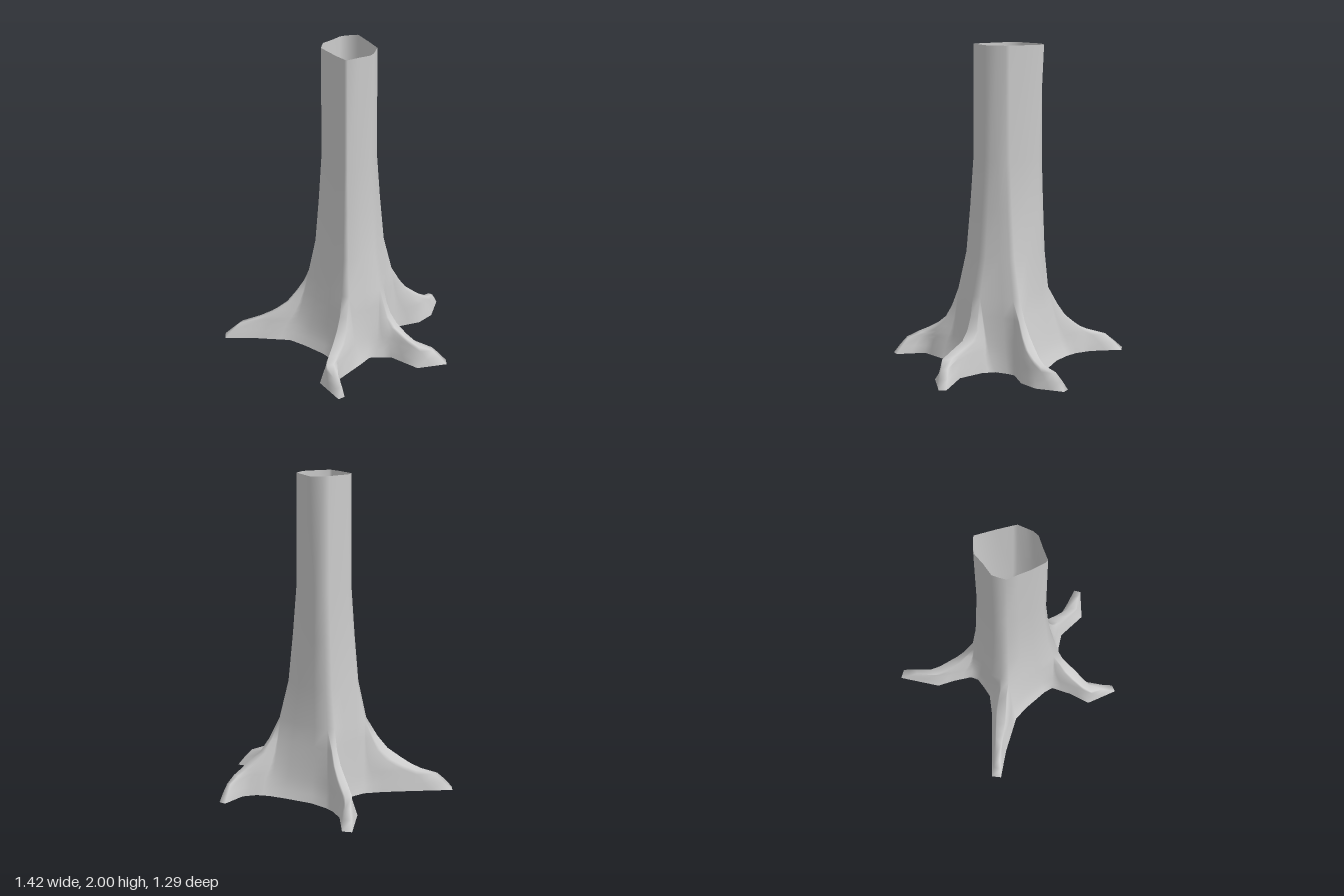
import * as THREE from 'three';
import { mergeVertices } from 'three/addons/utils/BufferGeometryUtils.js';

// Each root: ground outline of its two sides as [x, z] from trunk to tip,
// then its two trunk corners at the flare (mid) and at the rim (top).
const ROOTS = [
  { a: [[-.285, -.18], [-.38, -.25], [-.48, -.31], [-.61, -.545]], b: [[-.26, -.335], [-.33, -.355], [-.42, -.41], [-.555, -.57]],
    mid: [[-.22, -.19], [-.19, -.225]], top: [[-.16, -.17], [-.14, -.2]] },
  { a: [[.15, -.385], [.22, -.42], [.275, -.49], [.28, -.65]], b: [[.245, -.25], [.34, -.36], [.37, -.48], [.325, -.65]],
    mid: [[.17, -.24], [.2, -.21]], top: [[.11, -.125], [.13, -.11]] },
  { a: [[.26, -.12], [.32, -.06], [.47, 0], [.69, -.055]], b: [[.28, .145], [.37, .095], [.57, .115], [.71, -.015]],
    mid: [[.25, 0], [.255, .05]], top: [[.157, -.02], [.157, .02]] },
  { a: [[.24, .25], [.22, .36], [.2, .47], [.32, .605]], b: [[.03, .3], [.08, .42], [.115, .56], [.3, .645]],
    mid: [[.14, .24], [.09, .245]], top: [[.08, .155], [.06, .155]] },
  { a: [[-.3, .255], [-.42, .31], [-.52, .355], [-.68, .45]], b: [[-.3, .01], [-.38, .1], [-.5, .21], [-.715, .4]],
    mid: [[-.23, .13], [-.255, .08]], top: [[-.155, .06], [-.175, .02]] },
];

// Hollows between one root and the next: [ground, mid, top] per column.
const HOLLOWS = [
  [[[-.14, -.325], [-.1, -.235], [-.08, -.25]], [[.05, -.36], [.06, -.235], [.03, -.18]]],
  [[[.245, -.2], [.2, -.13], [.145, -.06]]],
  [[[.25, .17], [.2, .14], [.115, .09]]],
  [[[-.03, .28], [-.02, .2], [-.02, .125]], [[-.18, .26], [-.13, .165], [-.09, .09]]],
  [[[-.28, -.06], [-.25, 0], [-.19, -.02]], [[-.265, -.13], [-.23, -.1], [-.17, -.1]]],
];

const FLARE = 0.46;   // height where the roots merge into the trunk
const STEPS = 6;      // points along each side of a root

// Flare rings: [height, how far along the root it still reaches]
const FLARE_RINGS = [[0, 1], [.05, .93], [.1, .85], [.13, .69], [.16, .53], [.2, .36], [.26, .2], [.34, .1], [FLARE, 0]];
// Trunk rings: [height, blend from mid to top, backmost z]
const TRUNK_RINGS = [[.7, .5, -.23], [1, .75, -.22], [1.3, .95, -.215], [2, 1, -.25]];

const mix = (p, q, t) => [p[0] + (q[0] - p[0]) * t, p[1] + (q[1] - p[1]) * t];

// Point on a polyline at fraction f of its length in stations
function along(path, f) {
  const s = f * (path.length - 1);
  const i = Math.min(Math.floor(s), path.length - 2);
  return mix(path[i], path[i + 1], s - i);
}

// One closed loop through the roots, cut back to their reach at height y
function flareRing(y, reach) {
  const rise = Math.pow(y / FLARE, 0.7);
  const ring = [];
  ROOTS.forEach((root, r) => {
    const a = [mix(root.a[0], root.mid[0], rise), ...root.a.slice(1)];
    const b = [mix(root.b[0], root.mid[1], rise), ...root.b.slice(1)];
    const out = [], back = [];
    for (let i = 0; i <= STEPS; i++) {
      const u = i / STEPS;
      const pa = along(a, reach * u), pb = along(b, reach * u);
      // sides lean in towards the ridge
      const pinch = reach > 0 ? 0.3 * u * Math.min(1, y / 0.1) : 0;
      out.push(mix(pa, pb, pinch));
      back.unshift(mix(pb, pa, pinch));
    }
    ring.push(...out, ...back);
    HOLLOWS[r].forEach(([ground, mid]) => ring.push(mix(ground, mid, rise)));
  });
  return ring.map(([x, z]) => [x, y, z]);
}

// One loop of the trunk, with the same number of points as a flare loop
function trunkRing(y, t, zMin) {
  const ring = [];
  ROOTS.forEach((root, r) => {
    for (const side of [0, 1]) {
      const p = mix(root.mid[side], root.top[side], t);
      for (let i = 0; i <= STEPS; i++) ring.push(p);
    }
    HOLLOWS[r].forEach(([, mid, top]) => ring.push(mix(mid, top, t)));
  });
  return ring.map(([x, z]) => [x, y, Math.max(z, zMin)]);
}

// Skin between successive loops, open at both ends
function loft(rings) {
  const n = rings[0].length;
  const index = [];
  for (let k = 0; k < rings.length - 1; k++) {
    for (let i = 0; i < n; i++) {
      const a = k * n + i, b = k * n + (i + 1) % n;
      index.push(b, a, a + n, b, a + n, b + n);
    }
  }
  const raw = new THREE.BufferGeometry();
  raw.setAttribute('position', new THREE.Float32BufferAttribute(rings.flat(2), 3));
  raw.setIndex(index);
  // weld collapsed points and drop the empty triangles
  const geometry = mergeVertices(raw, 1e-4);
  const ids = geometry.index.array, kept = [];
  for (let i = 0; i < ids.length; i += 3) {
    const [p, q, r] = [ids[i], ids[i + 1], ids[i + 2]];
    if (p !== q && q !== r && r !== p) kept.push(p, q, r);
  }
  geometry.setIndex(kept);
  geometry.computeVertexNormals();
  return geometry;
}

export function createModel() {
  const group = new THREE.Group();
  group.name = 'treeTrunk';
  const rings = [
    ...FLARE_RINGS.map((r) => flareRing(...r)),
    ...TRUNK_RINGS.map((r) => trunkRing(...r)),
  ];
  const bark = new THREE.Mesh(
    loft(rings),
    new THREE.MeshStandardMaterial({ color: 0xcccccc, side: THREE.DoubleSide })
  );
  bark.name = 'hollowTrunkWithRoots';
  group.add(bark);
  return group;
}
